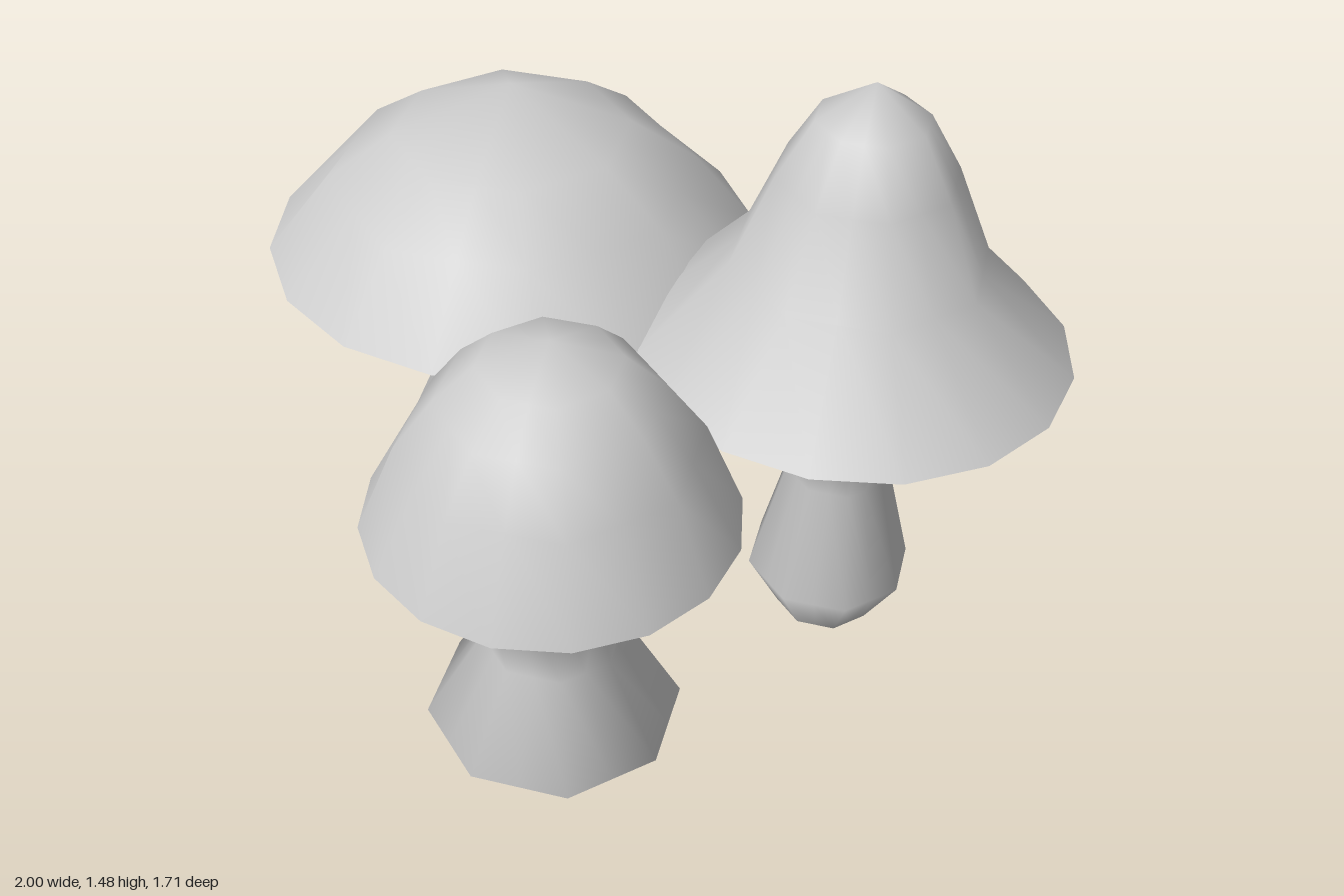
import * as THREE from 'three';

const SIDES = 16;
const grey = new THREE.MeshStandardMaterial({ color: 0xcccccc });
grey.name = 'paleGrey';

// Lathe whose rings are octagons, except the 16-sided rim at index rim
function octagonLathe(profile, rim) {
  const geo = new THREE.LatheGeometry(profile.map(([r, y]) => new THREE.Vector2(r, y)), SIDES);
  const pos = geo.attributes.position;
  const nor = geo.attributes.normal;
  const flat = Math.cos(Math.PI / 8);
  for (let i = 0; i <= SIDES; i++) {
    for (let j = 0; j < profile.length; j++) {
      const k = i * profile.length + j;
      if (i % 2 && j !== rim) pos.setXYZ(k, pos.getX(k) * flat, pos.getY(k), pos.getZ(k) * flat);
      if (profile[j][0] === 0) nor.setXYZ(k, 0, 1, 0); // rounded tip
    }
  }
  return geo;
}

function mushroom(name, x, z, stem, cap) {
  const group = new THREE.Group();
  group.name = name;
  group.position.set(x, 0, z);
  const add = (part, geo) => {
    const mesh = new THREE.Mesh(geo, grey);
    mesh.name = part;
    group.add(mesh);
    return mesh;
  };
  // stem flares into the underside of the cap
  add('stemAndUnderside', octagonLathe([...stem, cap[0]], stem.length));
  add('cap', octagonLathe(cap, 0));
  add('base', new THREE.CircleGeometry(stem[0][0], 8)).rotation.x = Math.PI / 2;
  return group;
}

export function createModel() {
  const model = new THREE.Group();
  model.name = 'mushroomCluster';
  // profiles are [radius, height] from bottom to top
  model.add(
    mushroom('wideMushroom', -0.4, -0.21,
      [[0.2, 0], [0.33, 0.15], [0.205, 0.44], [0.31, 0.68]],
      [[0.602, 0.81], [0.45, 1.0], [0.29, 1.11], [0, 1.23]]),
    mushroom('tallMushroom', 0.492, -0.35,
      [[0.12, 0], [0.2, 0.14], [0.125, 0.44], [0.195, 0.69]],
      [[0.505, 0.81], [0.295, 1.045], [0.205, 1.26], [0.127, 1.395], [0, 1.48]]),
    mushroom('smallMushroom', 0.255, 0.44,
      [[0.175, 0], [0.293, 0.125], [0.162, 0.35], [0.215, 0.62]],
      [[0.412, 0.702], [0.327, 0.91], [0.242, 1.025], [0.153, 1.108], [0, 1.16]]),
  );
  return model;
}
